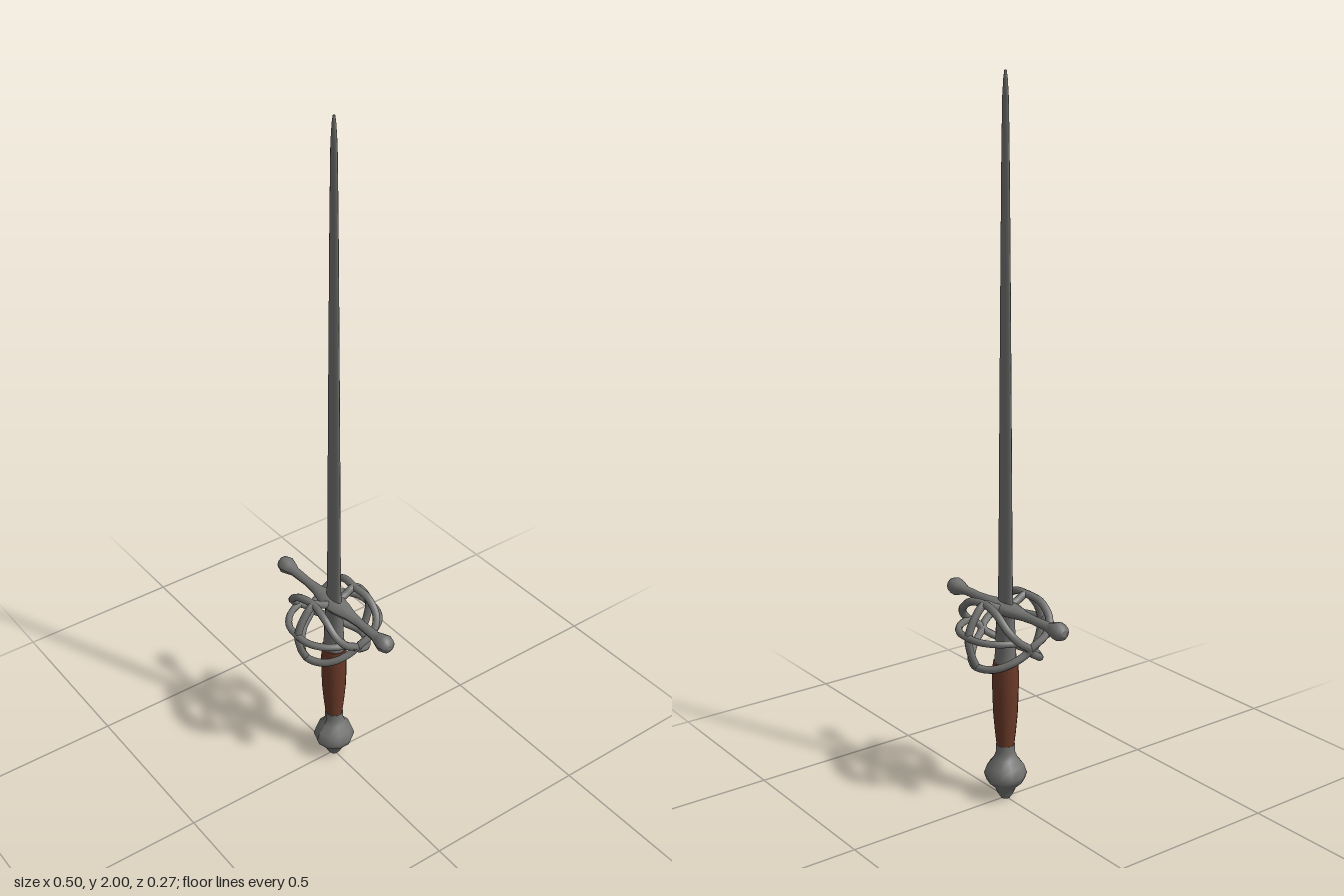
import * as THREE from 'three';

export function createModel() {
  const sword = new THREE.Group();
  sword.name = 'sword';
  const steel = new THREE.MeshStandardMaterial({ color: 0x737372 });
  steel.name = 'steel';
  const leather = new THREE.MeshStandardMaterial({ color: 0x6b3a29 });
  leather.name = 'brown leather';

  const add = (name, geo, mat, parent = sword) => {
    const mesh = new THREE.Mesh(geo, mat);
    mesh.name = name;
    parent.add(mesh);
    return mesh;
  };

  // Elliptical cross-sections [y, x radius, z radius] joined along y, with closed ends
  const loft = (sections, sides = 12) => {
    const geo = new THREE.CylinderGeometry(1, 1, 1, sides, sections.length - 1);
    const p = geo.attributes.position;
    for (let i = 0; i < p.count; i++) {
      const row = Math.round((p.getY(i) + 0.5) * (sections.length - 1));
      const [y, rx, rz] = sections[row];
      p.setXYZ(i, p.getX(i) * rx, y, p.getZ(i) * rz);
    }
    geo.computeVertexNormals();
    return geo;
  };

  // Blade and the thicker base running down into the grip
  add('blade', loft([
    [0.56, 0.032, 0.012], [0.7, 0.029, 0.010], [1.0, 0.026, 0.009], [1.4, 0.021, 0.008],
    [1.75, 0.016, 0.007], [1.93, 0.012, 0.006], [1.98, 0.007, 0.005], [2.0, 0.003, 0.003],
  ]), steel);
  add('bladeBase', loft([[0.4, 0.036, 0.03], [0.48, 0.035, 0.024], [0.58, 0.033, 0.018]]), steel);

  // Grip and pommel
  add('grip', loft([
    [0.155, 0.025, 0.024], [0.2, 0.031, 0.029], [0.26, 0.037, 0.034], [0.33, 0.04, 0.036],
    [0.38, 0.04, 0.036], [0.41, 0.038, 0.034],
  ]), leather);
  add('pommel', loft([
    [0, 0.014, 0.014], [0.012, 0.022, 0.022], [0.035, 0.032, 0.032], [0.055, 0.054, 0.054],
    [0.075, 0.061, 0.061], [0.1, 0.052, 0.052], [0.122, 0.034, 0.034], [0.14, 0.027, 0.027], [0.163, 0.027, 0.027],
  ], 10), steel);

  // Crossguard: a bar with a swollen middle and knobbed ends
  const half = [
    [0, 0.02, 0.034], [0.035, 0.019, 0.029], [0.08, 0.014, 0.017], [0.12, 0.012, 0.013], [0.185, 0.013, 0.015],
    [0.205, 0.02, 0.021], [0.225, 0.026, 0.026], [0.243, 0.021, 0.021], [0.25, 0.009, 0.009],
  ];
  const mirrored = half.slice(1).reverse().map(([y, a, b]) => [-y, a, b]);
  const guard = add('crossguard', loft([...mirrored, ...half], 10), steel);
  guard.rotation.set(0, 0.025, -Math.PI / 2, 'YXZ');
  guard.position.y = 0.568;

  // Basket: each side has a leaning loop, a middle band and a central rib
  const bar = (name, points, closed, radius, parent) => {
    const curve = new THREE.CatmullRomCurve3(points.map((p) => new THREE.Vector3(...p)), closed, 'centripetal');
    return add(name, new THREE.TubeGeometry(curve, points.length * 4, radius, 8, closed), steel, parent);
  };
  const mirrorX = (pts) => pts.map(([x, y, z]) => [-x, y, z]).reverse();
  const loopSide = [
    [0.06, 0.585, 0.077], [0.105, 0.548, 0.071], [0.119, 0.515, 0.046], [0.109, 0.478, 0.002],
    [0.088, 0.443, 0.045], [0.05, 0.422, 0.08],
  ];
  const bandSide = [[0.045, 0.51, 0.122], [0.08, 0.51, 0.1], [0.103, 0.51, 0.07], [0.115, 0.51, 0.04]];
  for (const turn of [0, Math.PI]) {
    const basket = new THREE.Group();
    basket.name = turn ? 'backBasket' : 'frontBasket';
    basket.rotation.y = turn;
    sword.add(basket);
    bar('loop', [[0, 0.594, 0.071], ...loopSide, [0, 0.418, 0.098], ...mirrorX(loopSide)], true, 0.011, basket);
    bar('band', [...mirrorX(bandSide), [0, 0.51, 0.127], ...bandSide], false, 0.01, basket);
    bar('rib', [
      [0, 0.568, 0.012], [0, 0.58, 0.04], [0, 0.594, 0.071], [0, 0.56, 0.105],
      [0, 0.51, 0.125], [0, 0.46, 0.117], [0, 0.418, 0.098],
    ], false, 0.011, basket);
  }
  return sword;
}
